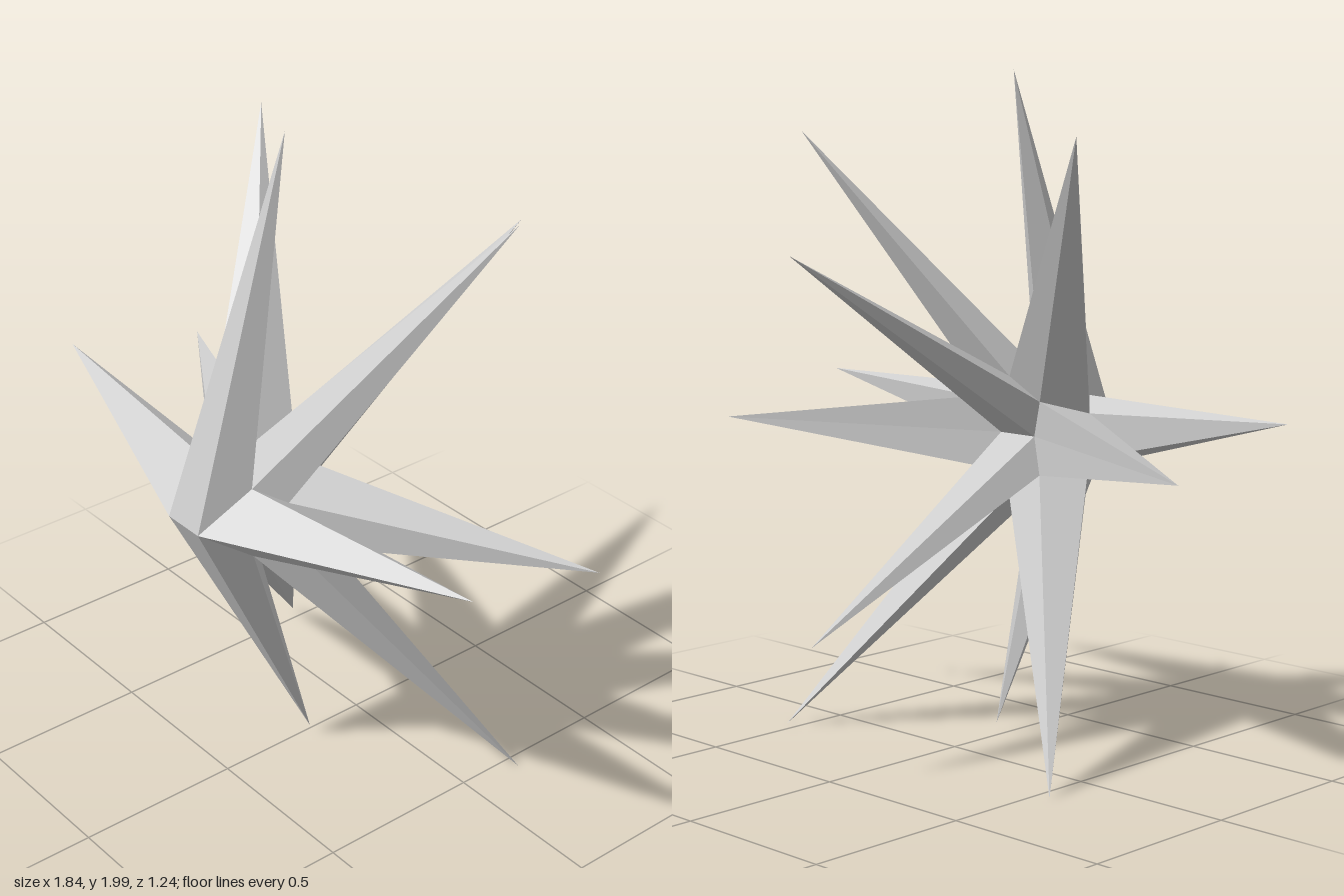
import * as THREE from 'three';

const PHI = (1 + Math.sqrt(5)) / 2;
const CORE = 0.11;

// Dodecahedron corners of the small core that all spikes grow from
function coreCorners() {
  const list = [];
  const s = [-1, 1];
  for (const a of s) for (const b of s) {
    for (const c of s) list.push(new THREE.Vector3(a, b, c));
    list.push(new THREE.Vector3(a / PHI, 0, b * PHI));
    list.push(new THREE.Vector3(0, a * PHI, b / PHI));
    list.push(new THREE.Vector3(a * PHI, b / PHI, 0));
  }
  return list;
}

// The core is swept back above and below its middle, like a chevron
function place(v) {
  const y = v.y * CORE;
  return new THREE.Vector3(v.x * CORE, 0.912 + y, 0.445 + v.z * CORE - 0.82 * Math.abs(y));
}

// name, direction of the core face, tip of the spike
const SPIKES = [
  ['frontUpperSpike', [0, 1, PHI], [0, 1.99, 0.245]],
  ['frontLowerSpike', [0, -1, PHI], [0.02, 0.035, 0.2]],
  ['backUpperSpike', [0, 1, -PHI], [0.02, 1.49, -0.615]],
  ['backLowerSpike', [0, -1, -PHI], [0, 0.4, -0.565]],
  ['leftUpperSpike', [1, PHI, 0], [0.545, 1.81, -0.1]],
  ['rightUpperSpike', [-1, PHI, 0], [-0.555, 1.81, -0.1]],
  ['leftLowerSpike', [1, -PHI, 0], [0.545, 0.005, -0.18]],
  ['rightLowerSpike', [-1, -PHI, 0], [-0.545, 0.005, -0.18]],
  ['leftFrontSpike', [PHI, 0, 1], [0.915, 1.025, 0.37]],
  ['rightFrontSpike', [-PHI, 0, 1], [-0.92, 1.025, 0.37]],
  ['leftBackSpike', [PHI, 0, -1], [0.905, 0.912, -0.1]],
  ['rightBackSpike', [-PHI, 0, -1], [-0.92, 0.912, -0.1]],
];

// Five-sided spike over one core face, corners sorted counter-clockwise
function spikeGeometry(direction, tip, corners) {
  const n = new THREE.Vector3(...direction).normalize();
  const ring = [...corners].sort((a, b) => b.dot(n) - a.dot(n)).slice(0, 5);
  const u = ring[0].clone().projectOnPlane(n).normalize();
  const w = n.clone().cross(u);
  const angle = (v) => Math.atan2(v.dot(w), v.dot(u));
  ring.sort((a, b) => angle(a) - angle(b));
  const base = ring.map(place);
  const apex = new THREE.Vector3(...tip);
  const points = base.flatMap((p, i) => [p, base[(i + 1) % 5], apex]);
  const geometry = new THREE.BufferGeometry().setFromPoints(points);
  geometry.computeVertexNormals();
  return geometry;
}

export function createModel() {
  const model = new THREE.Group();
  model.name = 'spikedStar';
  const material = new THREE.MeshStandardMaterial({ color: 0xcccccc, flatShading: true });
  const corners = coreCorners();
  for (const [name, direction, tip] of SPIKES) {
    const spike = new THREE.Mesh(spikeGeometry(direction, tip, corners), material);
    spike.name = name;
    model.add(spike);
  }
  return model;
}
